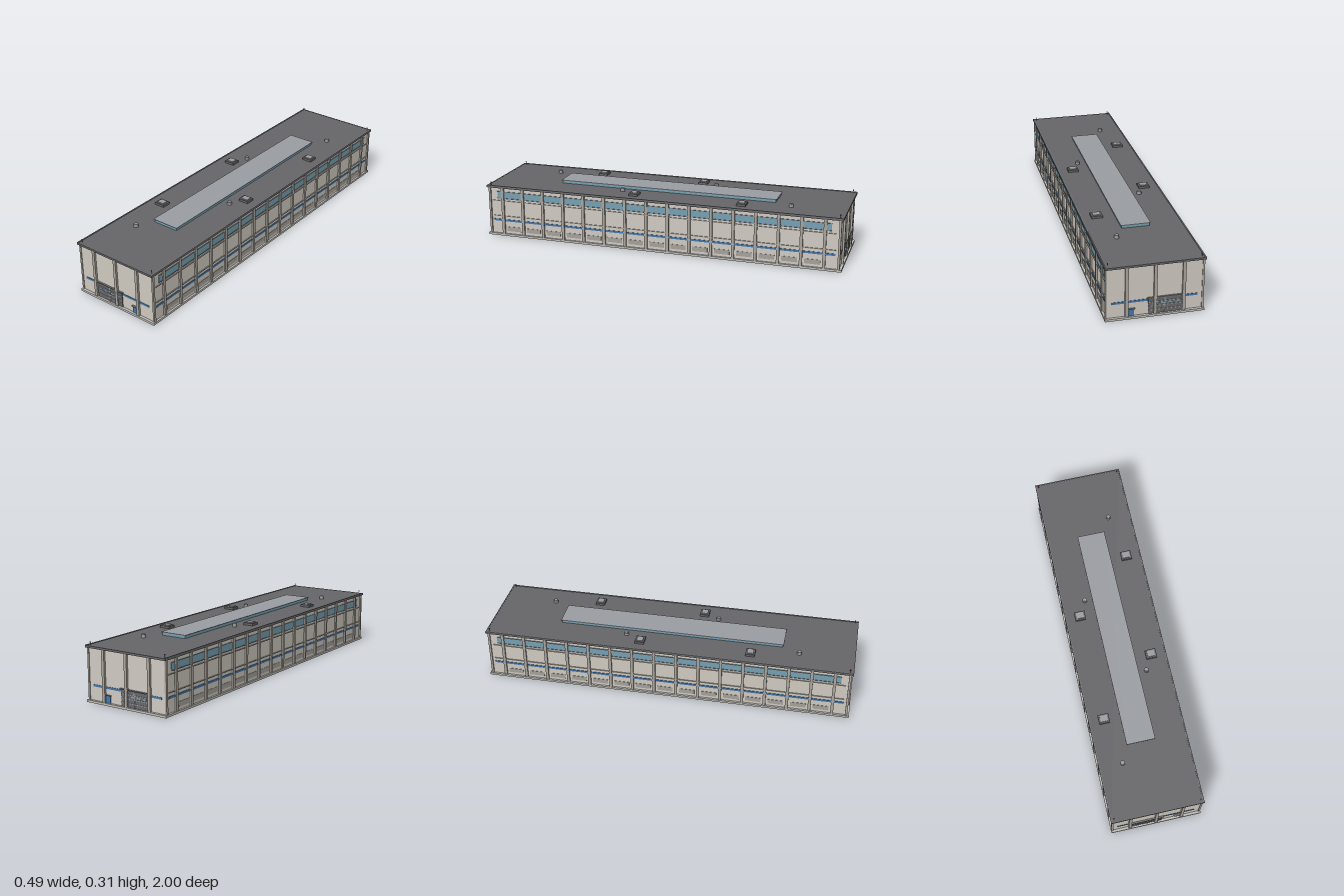
import * as THREE from 'three';

const mat = (color) => new THREE.MeshStandardMaterial({ color });
const M = {
  wall: mat(0xd0cbc2), pilaster: mat(0xaaa49c), base: mat(0xbdbbb6), roof: mat(0x666669),
  trim: mat(0x77787c), blue: mat(0x4577ab), glass: mat(0x75a0b2), gate: mat(0x68686b),
  slat: mat(0x9c9da0), louvre: mat(0xa5a19b), metal: mat(0x9a9da2), red: mat(0xb04038),
};

// Box given by its ranges along x, y and z
function box(parent, name, m, [x0, x1], [y0, y1], [z0, z1]) {
  const mesh = new THREE.Mesh(new THREE.BoxGeometry(x1 - x0, y1 - y0, z1 - z0), m);
  mesh.position.set((x0 + x1) / 2, (y0 + y1) / 2, (z0 + z1) / 2);
  mesh.name = name;
  parent.add(mesh);
  return mesh;
}

function cylinder(parent, name, m, r, [y0, y1], x, z, sides = 16) {
  const mesh = new THREE.Mesh(new THREE.CylinderGeometry(r, r, y1 - y0, sides), m);
  mesh.position.set(x, (y0 + y1) / 2, z);
  mesh.name = name;
  parent.add(mesh);
}

// Reverse a range for the opposite side
const side = (s, a, b) => (s > 0 ? [a, b] : [-b, -a]);

function longSide(s) {
  const g = new THREE.Group();
  g.name = s > 0 ? 'leftSide' : 'rightSide';
  const out = (d) => side(s, 0.23, 0.236 + d);
  const count = 16, first = -0.907, pitch = 1.814 / (count - 1);
  for (let i = 0; i < count; i++) {
    const z = first + i * pitch;
    box(g, 'sidePilaster', M.pilaster, out(0.009), [0.012, 0.278], [z - 0.008, z + 0.008]);
    if (i < count - 1) {
      const c = z + pitch / 2;
      box(g, 'louvre', M.louvre, out(0.002), [0.027, 0.053], [c - 0.042, c + 0.042]);
    }
  }
  box(g, 'windowBand', M.glass, out(0.002), [0.219, 0.256], [-0.94, 0.94]);
  box(g, 'sideStripe', M.blue, out(0.003), [0.084, 0.095], [-0.965, 0.965]);
  for (const y of [0.256, 0.217]) {
    box(g, 'windowRail', M.trim, out(0.004), [y - 0.0015, y + 0.0015], [-0.94, 0.94]);
  }
  for (const y of [0.203, 0.114]) {
    box(g, 'ledge', M.pilaster, out(0.005), [y - 0.002, y + 0.002], [-0.965, 0.965]);
  }
  return g;
}

function endWall(s) {
  const g = new THREE.Group();
  g.name = s > 0 ? 'frontEnd' : 'backEnd';
  const out = (d) => side(s, 0.98, 0.986 + d);
  for (const x of [-0.1425, -0.001, 0.14]) {
    box(g, 'endPilaster', M.pilaster, [x - 0.008, x + 0.008], [0.012, 0.278], out(0.011));
  }
  box(g, 'endStripe', M.blue, [-0.213, 0.211], [0.083, 0.094], out(0.002));

  // Cargo gate with frame, slats and small windows
  box(g, 'gate', M.gate, [-0.131, 0.033], [0.012, 0.097], out(0.004));
  box(g, 'gateLintel', M.trim, [-0.135, 0.039], [0.096, 0.101], out(0.009));
  for (const y of [0.032, 0.054, 0.075]) {
    box(g, 'gateSlat', M.slat, [-0.131, 0.033], [y - 0.002, y + 0.002], out(0.006));
  }
  box(g, 'gateCentre', M.slat, [-0.051, -0.047], [0.012, 0.097], out(0.0065));
  for (let i = 0; i < 4; i++) {
    const x = -0.112 + i * 0.038;
    box(g, 'gateWindow', M.glass, [x - 0.01, x + 0.01], [0.062, 0.071], out(0.0055));
  }

  // Small entrance door
  box(g, 'door', M.blue, [0.103, 0.131], [0.012, 0.05], out(0.004));
  box(g, 'doorCanopy', M.trim, [0.098, 0.136], [0.05, 0.053], out(0.01));
  return g;
}

function roofTop() {
  const g = new THREE.Group();
  g.name = 'roofTop';
  box(g, 'roofSlab', M.roof, [-0.247, 0.247], [0.278, 0.288], [-1, 1]);
  for (const s of [-1, 1]) {
    box(g, 'parapet', M.trim, side(s, 0.241, 0.247), [0.286, 0.291], [-1, 1]);
    box(g, 'endParapet', M.roof, [-0.243, 0.243], [0.286, 0.289], side(s, 0.994, 1));
  }

  // Long raised skylight
  box(g, 'skylightGlass', M.glass, [-0.073, 0.071], [0.287, 0.304], [-0.612, 0.612]);
  box(g, 'skylightCap', M.metal, [-0.078, 0.076], [0.303, 0.306], [-0.617, 0.617]);

  // Roof units and round ventilators alternate from side to side
  for (let i = 0; i < 4; i++) {
    const s = i % 2 ? -1 : 1;
    const x = s * 0.164, z = -0.45 + i * 0.3;
    box(g, 'roofUnit', M.roof, [x - 0.029, x + 0.029], [0.287, 0.3], [z - 0.025, z + 0.025]);
    box(g, 'roofUnitLid', M.slat, [x - 0.02, x + 0.02], [0.299, 0.305], [z - 0.017, z + 0.017]);
    const vx = s * 0.119, vz = -0.705 + i * 0.47;
    cylinder(g, 'ventilator', M.slat, 0.0125, [0.287, 0.303], vx, vz);
    cylinder(g, 'ventilatorCap', M.metal, 0.01, [0.302, 0.306], vx, vz);
  }

  // Warning lights at the corners
  for (const sx of [-1, 1]) for (const sz of [-1, 1]) {
    cylinder(g, 'lightPost', M.trim, 0.001, [0.287, 0.301], sx * 0.23, sz * 0.98, 6);
    cylinder(g, 'warningLight', M.red, 0.003, [0.3, 0.306], sx * 0.23, sz * 0.98, 8);
  }
  return g;
}

export function createModel() {
  const model = new THREE.Group();
  model.name = 'warehouse';
  box(model, 'plinth', M.base, [-0.247, 0.247], [0, 0.012], [-1, 1]);
  box(model, 'walls', M.wall, [-0.236, 0.236], [0.012, 0.278], [-0.986, 0.986]);
  for (const s of [1, -1]) {
    model.add(longSide(s), endWall(s));
    // Corner posts
    for (const z of [1, -1]) {
      box(model, 'cornerPost', M.pilaster, side(s, 0.234, 0.244), [0.012, 0.278], side(z, 0.978, 0.99));
    }
  }
  model.add(roofTop());
  return model;
}
